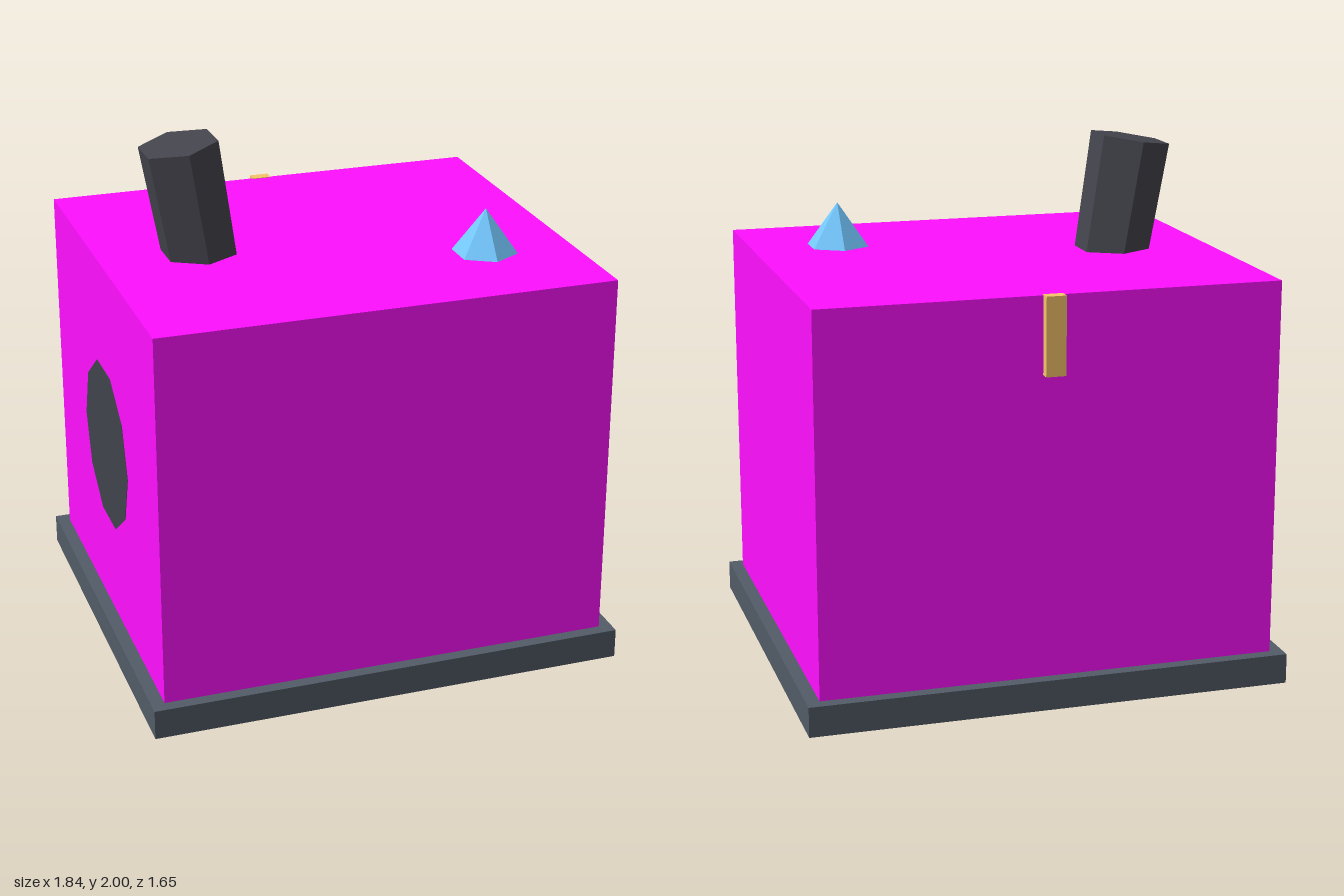
import * as THREE from 'three';

export function createModel() {
  const group = new THREE.Group();

  function add(name, geometry, color, x, y, z) {
    const material = new THREE.MeshStandardMaterial({ color, flatShading: true });
    const mesh = new THREE.Mesh(geometry, material);
    mesh.name = name;
    mesh.position.set(x, y, z);
    group.add(mesh);
    return mesh;
  }

  // plinth and the large block standing on it
  add('base', new THREE.BoxGeometry(1.84, 0.115, 1.65), 0x525b67, 0, 0.0575, 0);
  add('body', new THREE.BoxGeometry(1.74, 1.5, 1.555), 0xff0fff, 0, 0.8, 0);

  // leaning six-sided chimney, widening upwards, its foot sunk in the block
  const length = 0.55, tilt = 0.16;
  const chimney = add('chimney', new THREE.CylinderGeometry(0.155, 0.143, length, 6), 0x45454e,
    -0.557 + Math.sin(tilt) * length / 2, 1.979 - Math.cos(tilt) * length / 2, 0);
  chimney.rotation.z = tilt;

  // pointed crystal on the top
  add('crystal', new THREE.ConeGeometry(0.125, 0.17, 6), 0x74c8ff, 0.53, 1.635, 0.338);

  // small latch at the back
  add('latch', new THREE.BoxGeometry(0.075, 0.292, 0.045), 0xf6c468, 0, 1.406, -0.79);

  // dark round port set flush in the right side
  const port = add('sidePort', new THREE.CylinderGeometry(0.33, 0.33, 0.1, 10), 0x40444c, -0.822, 0.81, 0);
  port.rotation.z = Math.PI / 2;

  return group;
}
